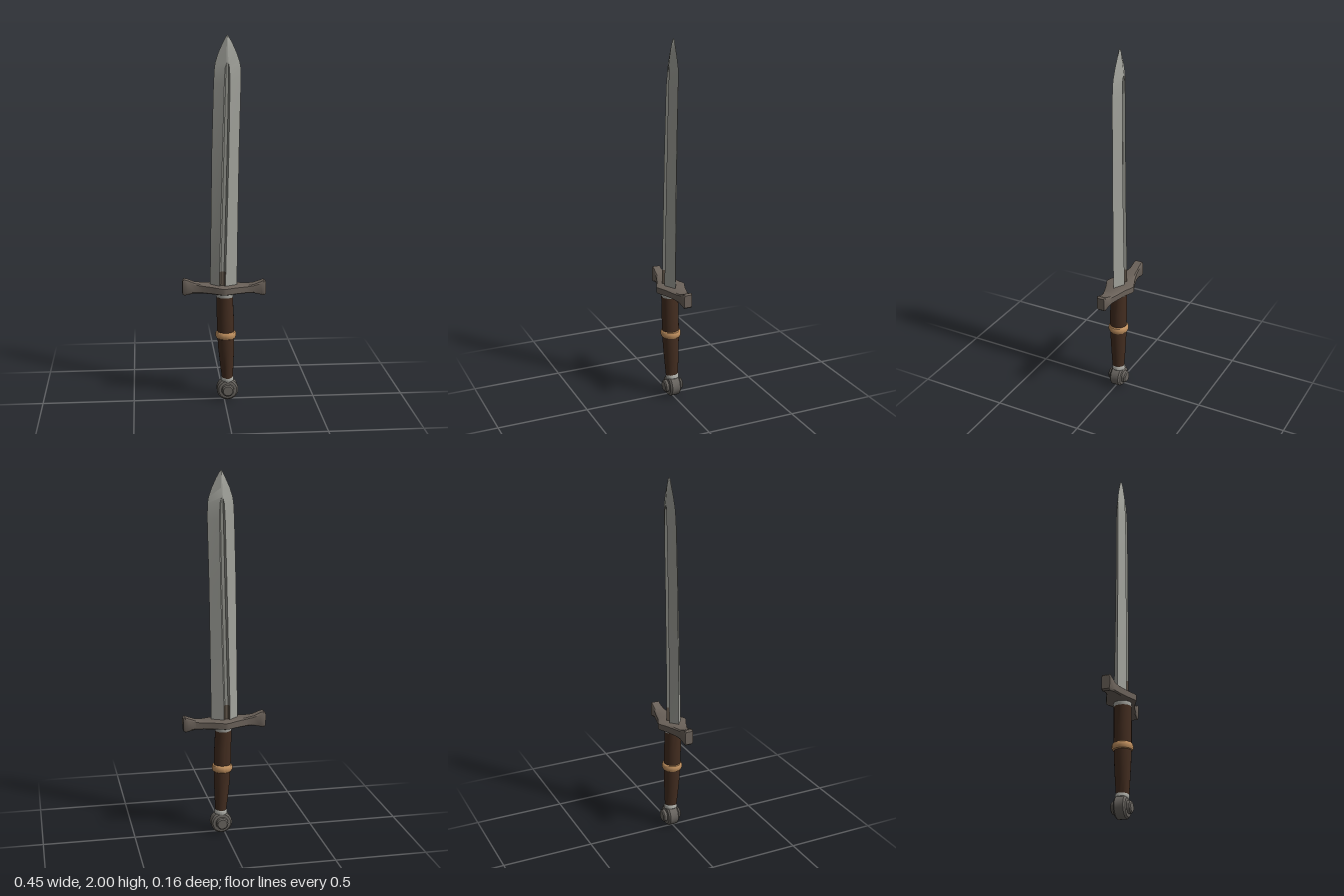
import * as THREE from 'three';
import { toCreasedNormals } from 'three/addons/utils/BufferGeometryUtils.js';

const mat = (name, color, side = THREE.FrontSide) => {
  const m = new THREE.MeshStandardMaterial({ color, side });
  m.name = name;
  return m;
};

// Skins a list of equal-sized rings and caps both ends; groupOf picks a material per face.
function loft(rings, crease = 0.6, groupOf = () => 0) {
  const groups = [];
  const add = (g, ...pts) => {
    groups[g] ??= [];
    for (const p of pts) groups[g].push(p.x, p.y, p.z);
  };
  const n = rings[0].length;
  for (let i = 0; i < rings.length - 1; i++) {
    for (let j = 0; j < n; j++) {
      const k = (j + 1) % n, g = groupOf(i, j);
      const a = rings[i][j], b = rings[i][k], c = rings[i + 1][k], d = rings[i + 1][j];
      add(g, a, b, c);
      add(g, a, c, d);
    }
  }
  for (const [ring, flip] of [[rings[0], true], [rings.at(-1), false]]) {
    const mid = new THREE.Vector3();
    ring.forEach(p => mid.addScaledVector(p, 1 / n));
    for (let j = 0; j < n; j++) {
      const a = ring[j], b = ring[(j + 1) % n];
      if (flip) add(0, mid, b, a); else add(0, mid, a, b);
    }
  }
  const geo = new THREE.BufferGeometry();
  geo.setAttribute('position', new THREE.Float32BufferAttribute(groups.flat(), 3));
  let start = 0;
  groups.forEach((g, i) => {
    geo.addGroup(start, g.length / 3, i);
    start += g.length / 3;
  });
  return toCreasedNormals(geo, crease);
}

// Upright round part from rows of [y, centre x, centre z, radius x, radius z].
function turned(rows, sides = 20) {
  return loft(rows.map(([y, cx, cz, rx, rz]) =>
    Array.from({ length: sides }, (_, j) => {
      const t = (j / sides) * Math.PI * 2;
      return new THREE.Vector3(cx + rx * Math.sin(t), y, cz + rz * Math.cos(t));
    })));
}

export function createModel() {
  const model = new THREE.Group();
  const steel = mat('blade steel', 0xa3a49d);
  const grooveSteel = mat('groove steel', 0x91928b);
  const stain = mat('stained steel', 0x62574b);
  const iron = mat('guard iron', 0x6a6159);
  const pommelIron = mat('pommel iron', 0x68645f);
  const collarSteel = mat('collar steel', 0xa9a9a3);
  const leather = mat('dark leather', 0x432d20);
  const band = mat('tan band', 0xc0905f);

  const add = (name, geometry, material, parent = model) => {
    const mesh = new THREE.Mesh(geometry, material);
    mesh.name = name;
    parent.add(mesh);
    return mesh;
  };

  // Blade: rows of [y, left edge, right edge, ridge centre, z centre, half depth, groove half width, groove depth]
  const bladeRows = [
    [0.64, -0.077, 0.070, -0.012, 0.002, 0.034, 0.017, 0.014],
    [0.74, -0.076, 0.071, -0.011, 0.002, 0.034, 0.017, 0.014],
    [1.00, -0.072, 0.074, -0.004, 0.002, 0.032, 0.017, 0.014],
    [1.40, -0.066, 0.080, 0.006, 0.000, 0.030, 0.017, 0.013],
    [1.75, -0.056, 0.089, 0.014, -0.004, 0.028, 0.015, 0.011],
    [1.83, -0.051, 0.088, 0.015, -0.006, 0.025, 0.012, 0.008],
    [1.86, -0.046, 0.083, 0.016, -0.007, 0.022, 0.005, 0],
    [1.91, -0.030, 0.066, 0.016, -0.008, 0.017, 0.004, 0],
    [1.96, -0.007, 0.043, 0.017, -0.009, 0.011, 0.003, 0],
    [1.99, 0.008, 0.026, 0.017, -0.010, 0.006, 0.002, 0],
    [2.00, 0.016, 0.018, 0.017, -0.010, 0.001, 0.0005, 0],
  ];
  const bladeRings = bladeRows.map(([y, l, r, c, z, d, w, g]) => [
    [c - w, z + d], [c - w * 0.5, z + d - g], [c + w * 0.5, z + d - g], [c + w, z + d], [r, z],
    [c + w, z - d], [c + w * 0.5, z - d + g], [c - w * 0.5, z - d + g], [c - w, z - d], [l, z],
  ].map(([px, pz]) => new THREE.Vector3(px, y, pz)));
  const grooveFace = (i, j) => (i < 6 && j % 5 < 3 ? (i === 0 ? 2 : 1) : 0);
  add('blade', loft(bladeRings, 0.35, grooveFace), [steel, grooveSteel, stain]);

  // Crossguard: rows of [x, y centre, half height, z centre, half depth]
  const guardRows = [
    [-0.228, 0.650, 0.036, -0.009, 0.022],
    [-0.218, 0.650, 0.044, -0.009, 0.026],
    [-0.200, 0.650, 0.040, -0.008, 0.026],
    [-0.160, 0.646, 0.027, -0.007, 0.028],
    [-0.120, 0.644, 0.024, -0.006, 0.037],
    [-0.060, 0.641, 0.023, -0.004, 0.058],
    [-0.012, 0.638, 0.022, -0.002, 0.080],
    [0.005, 0.638, 0.022, -0.002, 0.081],
    [0.060, 0.638, 0.022, -0.003, 0.057],
    [0.120, 0.638, 0.021, -0.005, 0.040],
    [0.160, 0.639, 0.024, -0.004, 0.031],
    [0.200, 0.641, 0.036, -0.004, 0.027],
    [0.217, 0.642, 0.042, -0.003, 0.027],
    [0.227, 0.642, 0.034, -0.003, 0.022],
  ];
  const corner = [[1, -0.8], [1, 0.8], [0.75, 1], [-0.75, 1], [-1, 0.8], [-1, -0.8], [-0.75, -1], [0.75, -1]];
  add('crossguard', loft(guardRows.map(([x, y, h, z, d]) =>
    corner.map(([cy, cz]) => new THREE.Vector3(x, y + cy * h, z + cz * d)))), iron);

  // Grip with its collars and band, leaning slightly towards the pommel
  add('upperCollar', turned([
    [0.592, 0.003, 0.004, 0.044, 0.046],
    [0.600, 0.003, 0.004, 0.047, 0.049],
    [0.622, 0.003, 0.004, 0.045, 0.046],
  ]), collarSteel);
  add('grip', turned([
    [0.125, 0.018, -0.001, 0.030, 0.034],
    [0.200, 0.015, 0.000, 0.037, 0.039],
    [0.300, 0.011, 0.002, 0.044, 0.044],
    [0.380, 0.009, 0.003, 0.047, 0.047],
    [0.480, 0.006, 0.004, 0.047, 0.047],
    [0.595, 0.002, 0.005, 0.045, 0.047],
  ]), leather);
  add('gripBand', turned([
    [0.358, 0.009, 0.002, 0.046, 0.046],
    [0.362, 0.009, 0.002, 0.053, 0.052],
    [0.372, 0.009, 0.002, 0.057, 0.056],
    [0.386, 0.009, 0.002, 0.057, 0.056],
    [0.395, 0.009, 0.002, 0.053, 0.052],
    [0.399, 0.009, 0.002, 0.046, 0.046],
  ]), band);
  add('lowerCollar', turned([
    [0.105, 0.018, -0.003, 0.030, 0.032],
    [0.115, 0.018, -0.003, 0.036, 0.037],
    [0.130, 0.018, -0.003, 0.034, 0.036],
    [0.137, 0.018, -0.003, 0.029, 0.031],
  ]), collarSteel);

  // Wheel pommel: disc with a raised boss on each face
  const pommel = new THREE.Group();
  pommel.name = 'pommel';
  pommel.position.set(0.018, 0.063, -0.004);
  model.add(pommel);
  const profile = [[0, -0.054], [0.026, -0.054], [0.033, -0.048], [0.035, -0.034], [0.050, -0.032], [0.059, -0.023],
    [0.059, 0.023], [0.050, 0.032], [0.035, 0.034], [0.033, 0.048], [0.026, 0.054], [0, 0.054]];
  const wheel = new THREE.LatheGeometry(profile.map(p => new THREE.Vector2(...p)), 24);
  wheel.rotateX(Math.PI / 2);
  add('pommelWheel', toCreasedNormals(wheel, 0.6), pommelIron, pommel);

  return model;
}
